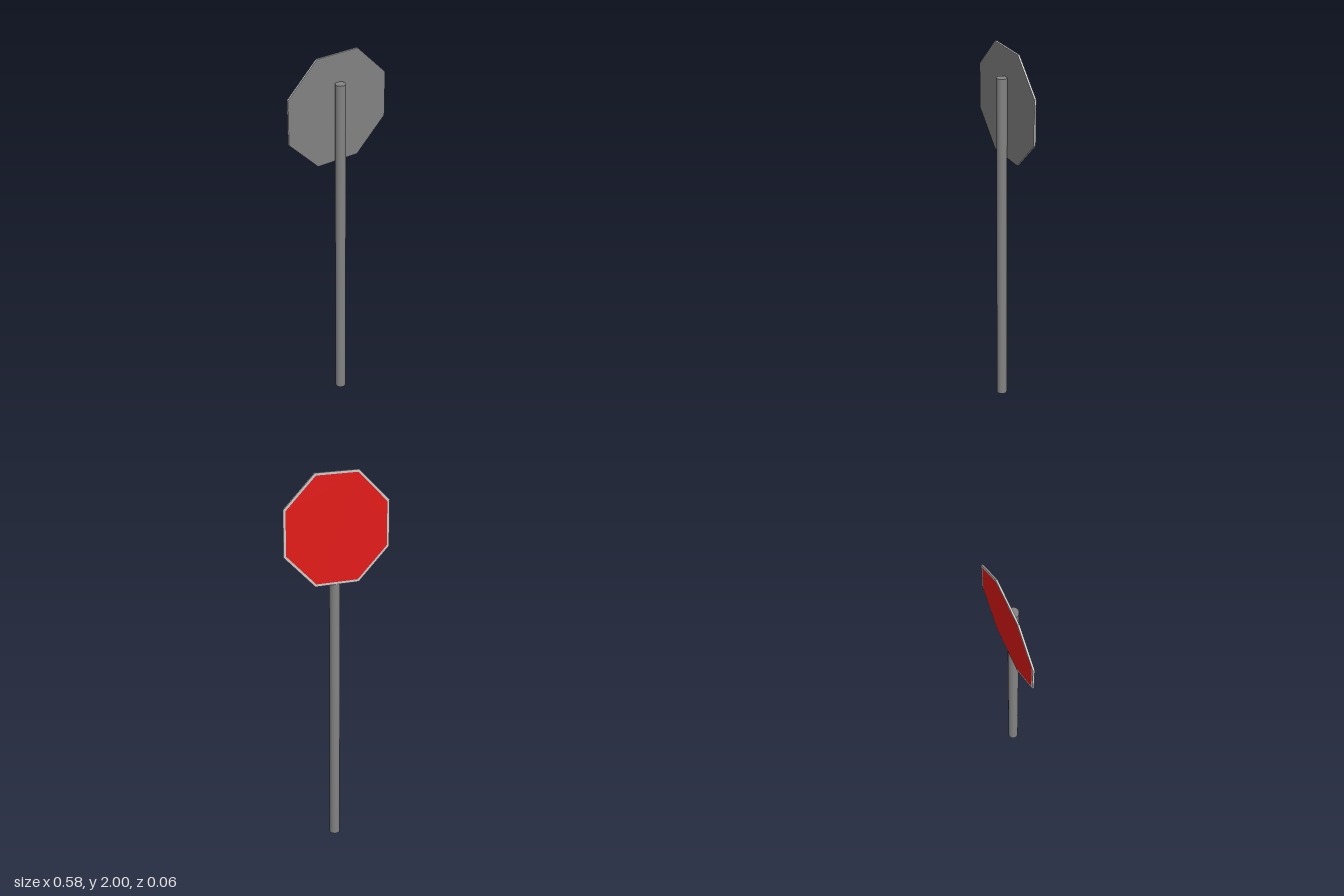
import * as THREE from 'three';

// Upright octagon with flat sides, "half" is half of its width
function octagon(half) {
  const r = half / Math.cos(Math.PI / 8);
  const points = [];
  for (let i = 0; i < 8; i++) {
    const a = Math.PI / 8 + (i * Math.PI) / 4;
    points.push(new THREE.Vector2(r * Math.cos(a), r * Math.sin(a)));
  }
  return new THREE.Shape(points);
}

export function createModel() {
  const group = new THREE.Group();
  group.name = 'roadSign';
  const lightGrey = new THREE.MeshStandardMaterial({ color: 0xcccccc });
  const darkGrey = new THREE.MeshStandardMaterial({ color: 0x838383 });
  const red = new THREE.MeshStandardMaterial({ color: 0xe41a18 });

  const add = (name, geometry, material, y, z) => {
    const mesh = new THREE.Mesh(geometry, material);
    mesh.name = name;
    mesh.position.set(0, y, z);
    group.add(mesh);
  };

  // Round post, closed at both ends
  add('post', new THREE.CylinderGeometry(0.0275, 0.0275, 1.85, 32), darkGrey, 0.925, 0.003);

  // Light border ring with a red panel set flush inside it
  const slab = { depth: 0.0095, bevelEnabled: false };
  const ring = octagon(0.29);
  ring.holes.push(octagon(0.277));
  add('signBorder', new THREE.ExtrudeGeometry(ring, slab), lightGrey, 1.71, -0.0305);
  add('signFace', new THREE.ExtrudeGeometry(octagon(0.277), slab), red, 1.71, -0.0305);

  // Dark sheet covering the post side of the sign
  add('signBacking', new THREE.ShapeGeometry(octagon(0.29)), darkGrey, 1.71, -0.0206);

  return group;
}
